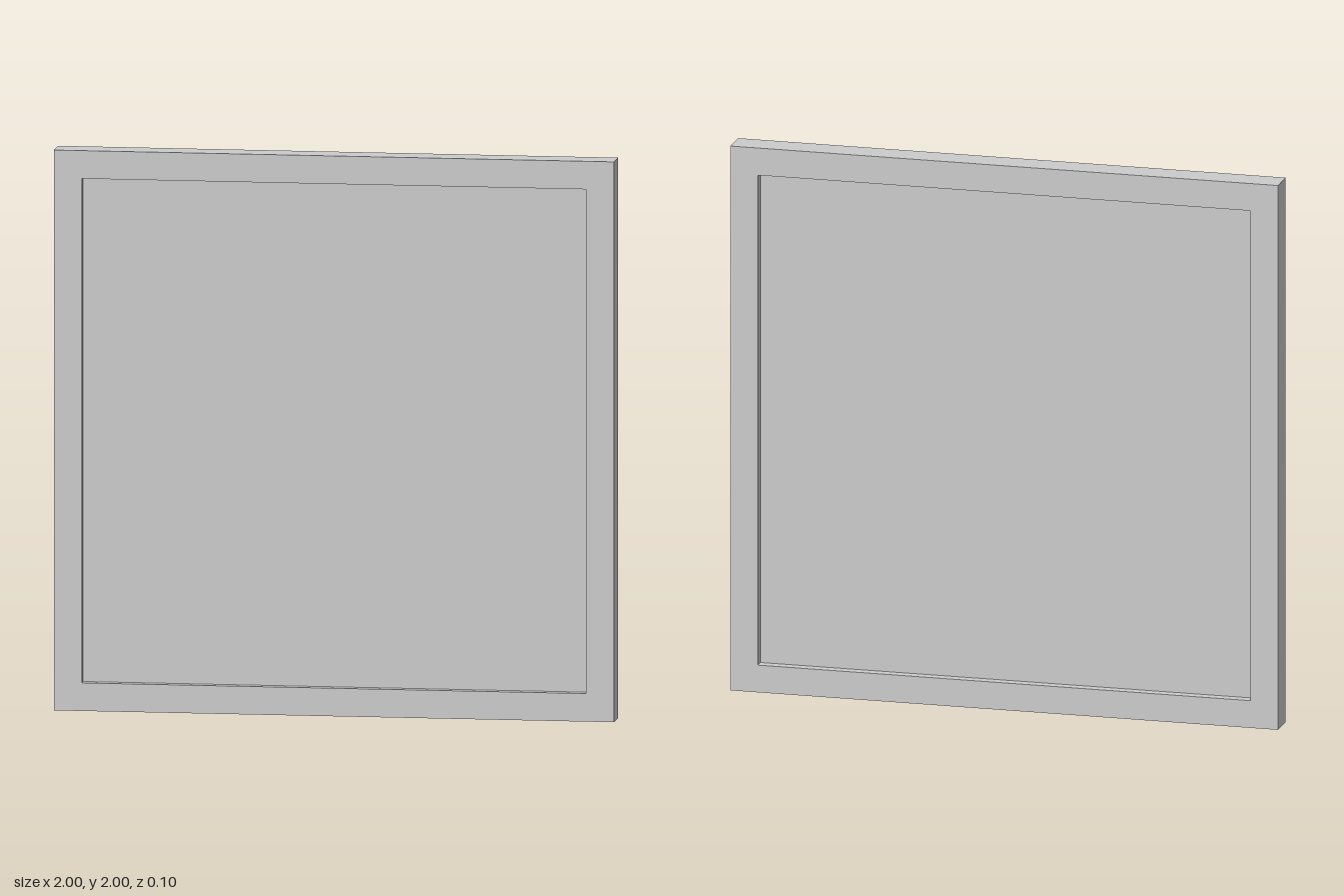
import * as THREE from 'three';

const SIZE = 2, BORDER = 0.1, DEPTH = 0.105, PANEL_DEPTH = 0.035;

// Traces a centred square on a shape or path
function square(path, size) {
  const h = size / 2;
  path.moveTo(-h, -h);
  path.lineTo(h, -h);
  path.lineTo(h, h);
  path.lineTo(-h, h);
  path.closePath();
  return path;
}

export function createModel() {
  const group = new THREE.Group();
  group.name = 'framedPanel';
  const material = new THREE.MeshStandardMaterial({ color: 0xcccccc });
  const inner = SIZE - 2 * BORDER;

  // Square frame with an opening
  const outline = square(new THREE.Shape(), SIZE);
  outline.holes.push(square(new THREE.Path(), inner));
  const frameGeometry = new THREE.ExtrudeGeometry(outline, { depth: DEPTH, bevelEnabled: false });
  frameGeometry.translate(0, SIZE / 2, -DEPTH / 2);
  const frame = new THREE.Mesh(frameGeometry, material);
  frame.name = 'frame';

  // Thin panel recessed equally on both sides
  const panel = new THREE.Mesh(new THREE.BoxGeometry(inner, inner, PANEL_DEPTH), material);
  panel.name = 'panel';
  panel.position.y = SIZE / 2;

  group.add(frame, panel);
  return group;
}
